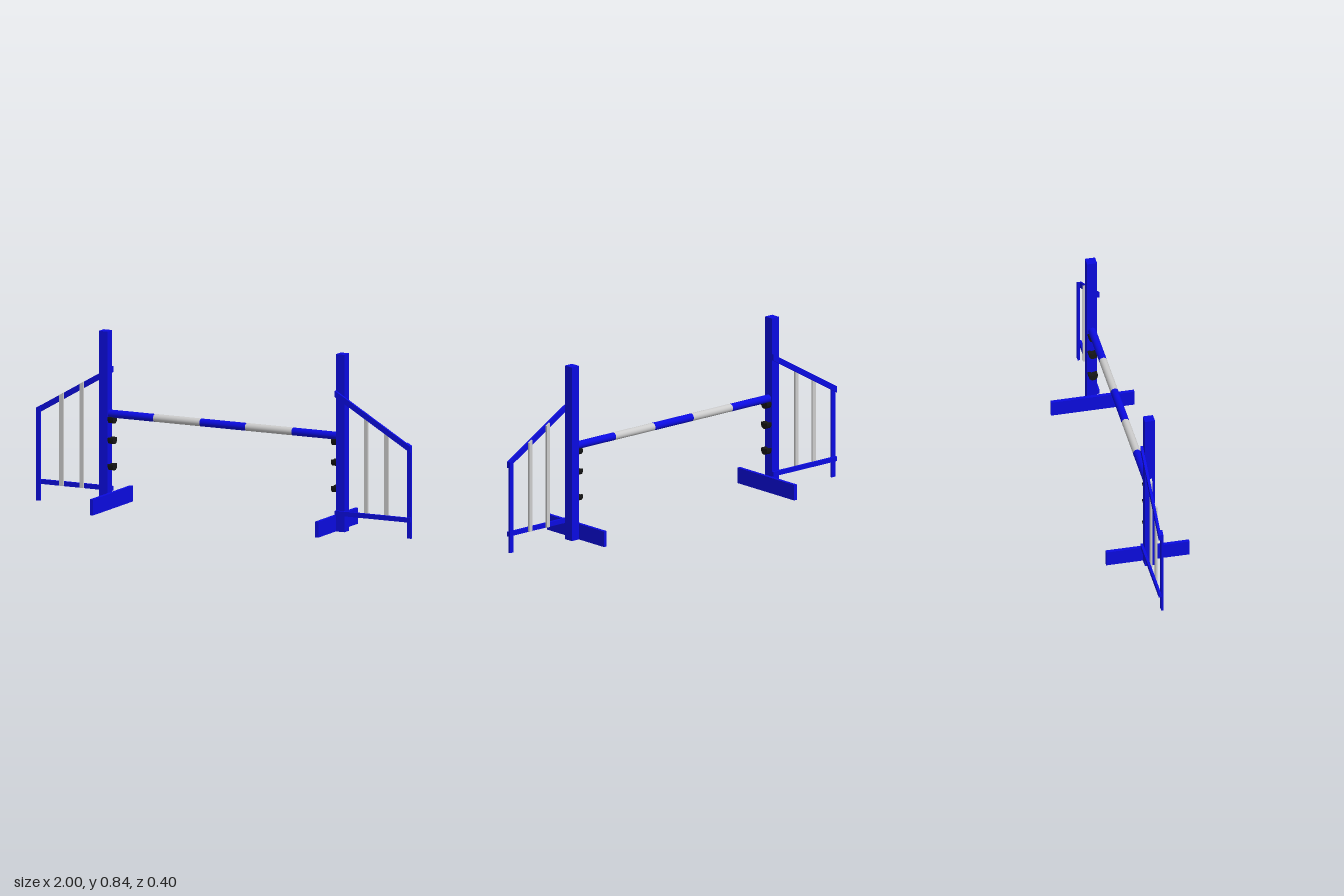
import * as THREE from 'three';

const paint = (color) => new THREE.MeshStandardMaterial({ color });
const blue = paint(0x0b0be0);
const grey = paint(0xcccccc);
const black = paint(0x151515);

function add(parent, name, geometry, material) {
  const mesh = new THREE.Mesh(geometry, material);
  mesh.name = name;
  parent.add(mesh);
  return mesh;
}

// Box given by its limits on each axis
function box(parent, name, material, [x0, x1], [y0, y1], [z0, z1]) {
  const mesh = add(parent, name, new THREE.BoxGeometry(x1 - x0, y1 - y0, z1 - z0), material);
  mesh.position.set((x0 + x1) / 2, (y0 + y1) / 2, (z0 + z1) / 2);
}

// Flat board outlined in xy, running from z0 to z1
function board(parent, name, material, points, z0, z1) {
  const shape = new THREE.Shape(points.map(([x, y]) => new THREE.Vector2(x, y)));
  const geometry = new THREE.ExtrudeGeometry(shape, { depth: z1 - z0, bevelEnabled: false });
  add(parent, name, geometry, material).position.z = z0;
}

const INNER = 0.603, OUTER = 1;
// Height of the sloping wing top at x
const slopeY = (x) => 0.67 - (x - INNER) * 0.23 / (OUTER - INNER);

// Upright with a slanted top flush with the sloping rail
function upright(parent, name, material, x0, x1, y0) {
  board(parent, name, material, [[x0, y0], [x1, y0], [x1, slopeY(x1)], [x0, slopeY(x0)]], 0.014, 0.024);
}

// Cup: rounded block with a hollow that cradles the pole
function cupGeometry() {
  const r = 0.0185, a = 0.62;
  const shape = new THREE.Shape();
  shape.moveTo(-0.022, 0.015);
  shape.bezierCurveTo(-0.022, -0.006, -0.014, -0.015, 0, -0.015);
  shape.bezierCurveTo(0.014, -0.015, 0.022, -0.006, 0.022, 0.015);
  shape.lineTo(r * Math.sin(a), 0.015);
  shape.absarc(0, 0.015 + r * Math.cos(a), r, -Math.PI / 2 + a, -Math.PI / 2 - a, true);
  shape.closePath();
  const geometry = new THREE.ExtrudeGeometry(shape, { depth: 0.028, bevelEnabled: false, curveSegments: 8 });
  return geometry.rotateY(Math.PI / 2);
}

function createStand(name) {
  const stand = new THREE.Group();
  stand.name = name;
  box(stand, 'post', blue, [INNER, 0.648], [0, 0.842], [-0.024, 0.024]);
  box(stand, 'foot', blue, [0.586, INNER], [0, 0.075], [-0.199, 0.199]);

  // Wing: rails on the outer face, uprights behind them
  const wing = new THREE.Group();
  wing.name = 'wing';
  stand.add(wing);
  board(wing, 'slopingRail', blue, [
    [INNER, slopeY(INNER) - 0.03], [OUTER, slopeY(OUTER) - 0.03],
    [OUTER, slopeY(OUTER)], [INNER, slopeY(INNER)],
  ], 0.024, 0.036);
  box(wing, 'lowerRail', blue, [INNER, OUTER], [0.078, 0.1], [0.024, 0.036]);
  upright(wing, 'outerLeg', blue, 0.977, OUTER, 0);
  for (const x of [0.76, 0.868]) upright(wing, 'slat', grey, x - 0.01, x + 0.01, 0.08);

  // Pole cups on the inner face of the post
  for (const y of [0.42, 0.322, 0.197]) {
    add(stand, 'poleCup', cupGeometry(), black).position.set(0.575, y, 0);
  }
  return stand;
}

export function createModel() {
  const model = new THREE.Group();
  model.name = 'jumpHurdle';

  // The second stand is the first turned half way round
  const left = createStand('leftStand');
  const right = createStand('rightStand');
  right.rotation.y = Math.PI;
  model.add(left, right);

  // Striped pole
  const pole = new THREE.Group();
  pole.name = 'pole';
  model.add(pole);
  const stops = [-INNER, -0.365, -0.12, 0.12, 0.365, INNER];
  for (let i = 0; i < 5; i++) {
    const geometry = new THREE.CylinderGeometry(0.0185, 0.0185, stops[i + 1] - stops[i], 24).rotateZ(Math.PI / 2);
    add(pole, 'poleStripe', geometry, i % 2 ? grey : blue).position.set((stops[i] + stops[i + 1]) / 2, 0.45, 0);
  }
  return model;
}
